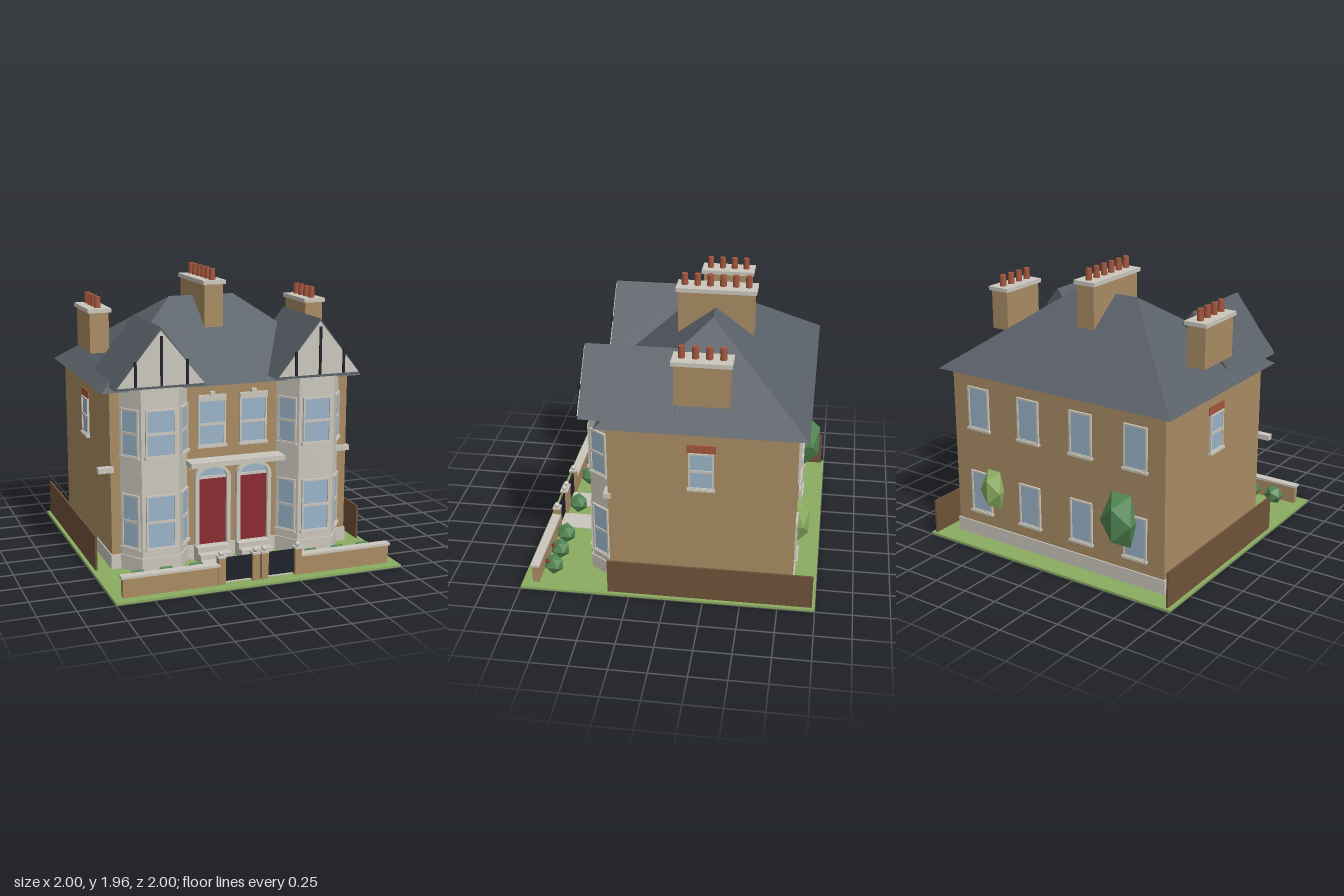
import * as THREE from 'three';

const mat = (name, color, flat = false) => {
  const m = new THREE.MeshStandardMaterial({ color, flatShading: flat });
  m.name = name;
  return m;
};

export function createModel() {
  const M = {
    brick: mat('brick', 0xa98c63), stone: mat('stone', 0xcbc7bd), slate: mat('slate', 0x5a6068, true),
    glass: mat('glass', 0x9ab4c8), door: mat('doorRed', 0x8b2a30), iron: mat('ironBlack', 0x20222b),
    clay: mat('terracotta', 0xa5573d), fence: mat('fenceBrown', 0x70533a),
    grass: mat('grass', 0x8bad61, true), leaf: mat('leaf', 0x528552, true),
  };
  const house = new THREE.Group();
  house.name = 'house';

  const add = (name, geo, m, x = 0, y = 0, z = 0, parent = house) => {
    const mesh = new THREE.Mesh(geo, m);
    mesh.name = name;
    mesh.position.set(x, y, z);
    parent.add(mesh);
    return mesh;
  };
  // Box given by its limits on each axis
  const box = (name, m, x0, x1, y0, y1, z0, z1, parent = house) =>
    add(name, new THREE.BoxGeometry(x1 - x0, y1 - y0, z1 - z0), m,
      (x0 + x1) / 2, (y0 + y1) / 2, (z0 + z1) / 2, parent);
  const extrude = (pts, depth, holes = []) => {
    const s = new THREE.Shape(pts.map(([x, y]) => new THREE.Vector2(x, y)));
    s.holes.push(...holes);
    return new THREE.ExtrudeGeometry(s, { depth, bevelEnabled: false, curveSegments: 16 });
  };
  // Framed window facing +z, then turned about y; bar is a height above the middle
  const windowAt = (name, w, h, x, y, z, turn, bar = null) => {
    const g = new THREE.Group();
    g.name = name;
    const a = w / 2, b = h / 2, t = 0.012;
    box('pane', M.glass, -a, a, -b, b, 0, 0.006, g);
    for (const s of [-1, 1]) {
      box('frameSide', M.stone, s * a - t / 2, s * a + t / 2, -b, b, 0, 0.015, g);
      box('frameRail', M.stone, -a - t / 2, a + t / 2, s * b - t / 2, s * b + t / 2, 0, 0.015, g);
    }
    box('sill', M.stone, -a - 0.014, a + 0.014, -b - 0.016, -b, 0, 0.025, g);
    if (bar !== null) box('glazingBar', M.stone, -a, a, bar - 0.009, bar + 0.009, 0, 0.013, g);
    g.position.set(x, y, z);
    g.rotation.y = turn;
    house.add(g);
  };

  // Ground, walls and plinth
  box('lawn', M.grass, -1, 1, 0, 0.015, -1, 1);
  box('walls', M.brick, -0.86, 0.86, 0.015, 1.236, -0.84, 0.4);
  box('plinth', M.stone, -0.868, 0.868, 0.015, 0.115, -0.85, 0.408);

  // Hipped main roof
  const A = [-0.93, 1.235, 0.47], B = [0.93, 1.235, 0.47], C = [0.93, 1.235, -0.91],
    D = [-0.93, 1.235, -0.91], L = [-0.24, 1.755, -0.22], R = [0.24, 1.755, -0.22];
  const roof = new THREE.BufferGeometry();
  roof.setAttribute('position', new THREE.Float32BufferAttribute(
    [A, B, R, A, R, L, B, C, R, C, D, L, C, L, R, D, A, L, A, D, C, A, C, B].flat(), 3));
  roof.computeVertexNormals();
  add('mainRoof', roof, M.slate);

  // Chimney stack with a row of pots
  const chimney = (x, hw, y0, y1, z0, z1, pots, potStart, potGap) => {
    box('chimneyStack', M.brick, x - hw, x + hw, y0, y1, z0, z1);
    box('chimneyCap', M.stone, x - hw - 0.015, x + hw + 0.015, y1, y1 + 0.028, z0 - 0.016, z1 + 0.016);
    for (let i = 0; i < pots; i++)
      add('chimneyPot', new THREE.CylinderGeometry(0.021, 0.023, 0.08, 10), M.clay,
        x, y1 + 0.067, potStart - i * potGap);
  };
  chimney(0, 0.068, 1.5, 1.857, -0.477, 0.04, 6, 0.002, 0.087);

  for (const s of [-1, 1]) {
    chimney(s * 0.8, 0.067, 1.41, 1.687, -0.395, -0.04, 4, -0.085, 0.088);

    // Three-sided bay with windows on two floors
    const cx = s * 0.56;
    const plan = (o) => [[cx - 0.235 - o, -0.39], [cx - 0.235 - o, -0.4], [cx - 0.13 - o * 0.6, -0.55 - o],
      [cx + 0.13 + o * 0.6, -0.55 - o], [cx + 0.235 + o, -0.4], [cx + 0.235 + o, -0.39]];
    const slab = (name, o, y0, y1) =>
      add(name, extrude(plan(o), y1 - y0).rotateX(-Math.PI / 2), M.stone, 0, y0, 0);
    slab('bay', 0, 0.015, 1.27);
    slab('bayPlinth', 0.01, 0.015, 0.115);
    for (const [y, h, bar] of [[0.36, 0.36, 0.0], [0.963, 0.31, -0.003]]) {
      windowAt('bayFrontWindow', 0.195, h, cx, y, 0.55, 0, bar);
      for (const t of [-1, 1])
        windowAt('baySideWindow', 0.135, h, cx + t * 0.1825, y, 0.475, t * Math.atan2(0.15, 0.105), bar);
    }

    // Gable over the bay, with timbers
    const tri = (hw, y0, y1) => [[cx - hw, y0], [cx + hw, y0], [cx, y1]];
    add('gableRoof', extrude(tri(0.31, 1.267, 1.665), 0.62), M.slate, 0, 0, -0.04);
    add('gablePanel', extrude(tri(0.295, 1.284, 1.645), 0.006), M.stone, 0, 0, 0.58);
    for (const [dx, top] of [[-0.175, 1.45], [0, 1.61], [0.175, 1.45]])
      box('gableTimber', M.iron, cx + dx - 0.008, cx + dx + 0.008, 1.286, top, 0.58, 0.597);

    // String course beside the bay
    box('stringCourse', M.stone, cx + s * 0.3 - 0.09, cx + s * 0.3 + 0.015, 0.69, 0.727, 0.38, 0.43);

    // Side window with a red lintel
    windowAt('sideWindow', 0.155, 0.255, s * 0.86, 0.94, -0.22, s * Math.PI / 2, 0);
    box('sideLintel', M.clay, s * 0.863 - 0.006, s * 0.863 + 0.006, 1.075, 1.13, -0.315, -0.125);

    // Upper front window with a moulded head
    const wx = s * 0.15;
    windowAt('upperWindow', 0.185, 0.31, wx, 0.97, 0.4, 0, -0.01);
    box('windowHead', M.stone, wx - 0.1, wx + 0.1, 1.122, 1.162, 0.4, 0.425);
    box('keystone', M.stone, wx - 0.018, wx + 0.018, 1.155, 1.186, 0.4, 0.43);

    // Door, fanlight and arched surround
    const arch = (hw, y0, spring, rise) => {
      const p = [[-hw, y0], [hw, y0]];
      for (let i = 0; i <= 14; i++) {
        const a = i / 14 * Math.PI;
        p.push([hw * Math.cos(a), spring + rise * Math.sin(a)]);
      }
      return p;
    };
    const opening = new THREE.Path(arch(0.1, 0.1, 0.6, 0.06).map(([x, y]) => new THREE.Vector2(x, y)));
    add('doorSurround', extrude(arch(0.128, 0.09, 0.59, 0.092), 0.035, [opening]), M.stone, wx, 0, 0.4);
    box('door', M.door, wx - 0.101, wx + 0.101, 0.1, 0.582, 0.4, 0.412);
    box('doorTransom', M.stone, wx - 0.1, wx + 0.1, 0.582, 0.6, 0.4, 0.42);
    add('fanlight', extrude(arch(0.099, 0.6, 0.6, 0.06), 0.008), M.glass, wx, 0, 0.4);

    // Steps and path
    for (let i = 0; i < 3; i++)
      box('step', M.stone, wx - 0.13, wx + 0.1, 0.015, 0.048 + i * 0.034, 0.39, 0.605 - i * 0.06);
    box('path', M.stone, wx - 0.092, wx + 0.092, 0.015, 0.02, 0.6, 0.9);

    // Front garden wall, gate piers and gate
    const wc = s * 0.615;
    box('gardenWall', M.brick, wc - 0.32, wc + 0.32, 0.015, 0.14, 0.885, 0.93);
    box('wallCoping', M.stone, wc - 0.33, wc + 0.33, 0.14, 0.156, 0.877, 0.937);
    for (const px of [s * 0.27, s * 0.031]) {
      box('gatePier', M.brick, px - 0.024, px + 0.024, 0.015, 0.195, 0.883, 0.931);
      box('pierCap', M.stone, px - 0.028, px + 0.028, 0.195, 0.208, 0.879, 0.935);
      add('pierBall', new THREE.SphereGeometry(0.02, 10, 8), M.stone, px, 0.222, 0.907);
    }
    box('gate', M.iron, wx - 0.095, wx + 0.095, 0.03, 0.19, 0.9, 0.91);

    // Side fence
    box('sideFence', M.fence, s * 0.969 - 0.007, s * 0.969 + 0.007, 0.015, 0.26, -0.98, 0.4);

    // Rear windows
    for (const x of [0.215, 0.64]) for (const y of [0.36, 0.98])
      windowAt('rearWindow', 0.165, 0.29, s * x, y, -0.84, Math.PI);
  }

  // Canopy over both doors
  box('canopyMoulding', M.stone, -0.32, 0.32, 0.665, 0.692, 0.39, 0.435);
  box('canopy', M.stone, -0.34, 0.34, 0.692, 0.727, 0.39, 0.53);

  // Bushes and flowers
  const bush = (name, m, r, x, y, z, sy = 1) =>
    add(name, new THREE.IcosahedronGeometry(r, 0).scale(1, sy, 1), m, x, y, z);
  for (const x of [-0.8, -0.61, -0.41, 0, 0.41, 0.61, 0.8]) bush('frontBush', M.leaf, 0.072, x, 0.082, 0.81);
  for (const [x, m] of [[-0.575, M.stone], [0.635, M.door], [0.83, M.door]])
    add('flower', new THREE.SphereGeometry(0.014, 8, 6), m, x, 0.12, 0.848);
  bush('rearTree', M.leaf, 0.14, -0.53, 0.455, -0.84, 1.55);
  bush('rearSapling', M.grass, 0.1, 0.53, 0.405, -0.84, 1.65);

  return house;
}
